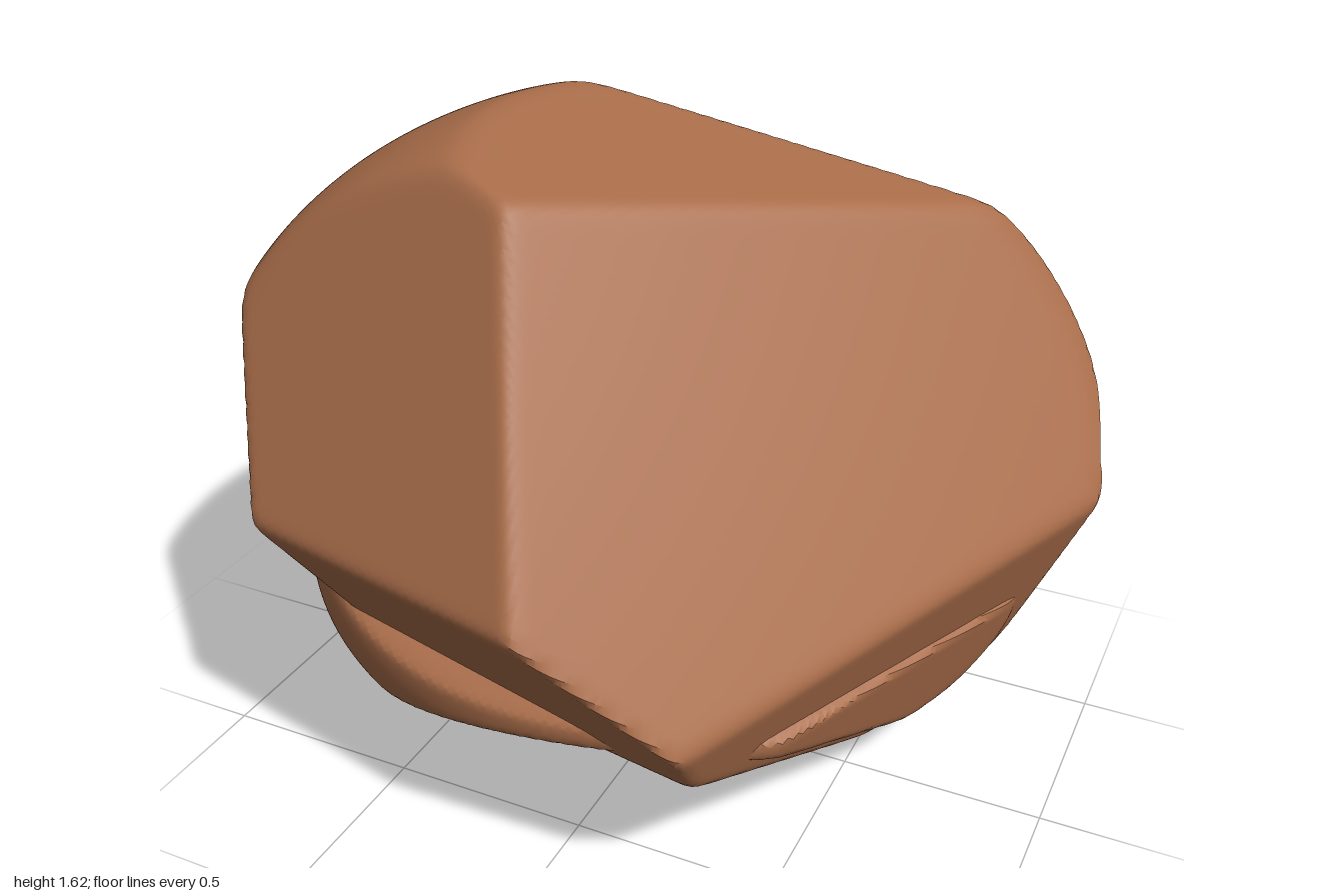
import * as THREE from 'three';
import { toCreasedNormals } from 'three/addons/utils/BufferGeometryUtils.js';

const SHARPNESS = 80; // higher gives crisper edges between the chipped faces

// A boulder: a tilted ellipsoid (power 2; higher is boxier) chipped flat by planes [nx, ny, nz, distance].
function boulder(name, center, radii, tilt, power, cuts, material) {
  const c = new THREE.Vector3(...center);
  const planes = cuts.map(([x, y, z, d]) => {
    const n = new THREE.Vector3(x, y, z);
    const len = n.length();
    return { n: n.divideScalar(len), gap: d / len - n.dot(c) };
  });
  const xAxis = new THREE.Vector3(1, 0, 0);
  const geo = new THREE.IcosahedronGeometry(1, 56);
  const pos = geo.attributes.position;
  const dir = new THREE.Vector3();
  const local = new THREE.Vector3();
  for (let i = 0; i < pos.count; i++) {
    dir.fromBufferAttribute(pos, i).normalize();
    local.copy(dir).applyAxisAngle(xAxis, -tilt);
    // Inverse distances to every surface along this ray; their soft maximum is the nearest one
    const inverse = [local.toArray().reduce((s, v, k) => s + Math.abs(v / radii[k]) ** power, 0) ** (1 / power)];
    for (const { n, gap } of planes) inverse.push(Math.max(0, n.dot(dir) / gap));
    const peak = Math.max(...inverse);
    const soft = inverse.reduce((s, v) => s + (v / peak) ** SHARPNESS, 0) ** (1 / SHARPNESS);
    const r = 1 / (peak * soft);
    pos.setXYZ(i, c.x + dir.x * r, c.y + dir.y * r, c.z + dir.z * r);
  }
  const mesh = new THREE.Mesh(toCreasedNormals(geo, 0.6), material);
  mesh.name = name;
  return mesh;
}

export function createModel() {
  const group = new THREE.Group();
  group.name = 'rockPile';
  const stone = new THREE.MeshStandardMaterial({ color: 0xa96d4a });

  // Large chipped rock on top
  group.add(boulder('upperRock', [0, 0.8, 0.05], [1.1, 0.88, 1.02], 0, 2, [
    [0.705, 0.507, 0.496, 0.914],   // broad right front face
    [-0.227, 0.44, 0.869, 1.123],   // left front face
    [0.269, 0.962, 0.035, 1.466],   // sloping top
    [-0.133, 0.434, -0.891, 0.932], // sloping back face
    [0.05, -0.15, -1, 0.458],       // upright back
    [-0.28, -0.1, -0.96, 0.515],    // left back corner
    [-0.93, -0.36, 0.03, 0.398],    // left undercut
    [-0.184, -0.567, 0.8, 0.256],   // front undercut
    [0.842, -0.36, 0.403, 0.45],    // right undercut
    [0.06, -0.93, 0.36, -0.078],    // sloping underside
    [0.09, -1, -0.15, -0.1],        // base
    [0, -0.43, -0.9, 0.153],        // back undercut
    [0.6, -0.3, -0.73, 0.62],       // right back corner
  ], stone));

  // Rounder rock lying beneath and behind
  group.add(boulder('lowerRock', [-0.08, 0.47, -0.13], [0.925, 0.49, 0.79], 0.1, 2.1, [
    [0, 0.87, 0.49, 0.69],          // front ledge
    [0.35, 0.9, 0.25, 0.675],       // right ledge
    [0.87, -0.3, 0.4, 0.515],       // right side
    [0.12, -0.92, 0.37, -0.09],     // front underside
    [0.03, -0.34, -0.94, 0.635],    // chipped back
    [0.31, -1, 0, 0.017],           // right underside
    [0, -1, 0, 0],                  // resting on the ground
  ], stone));

  return group;
}
